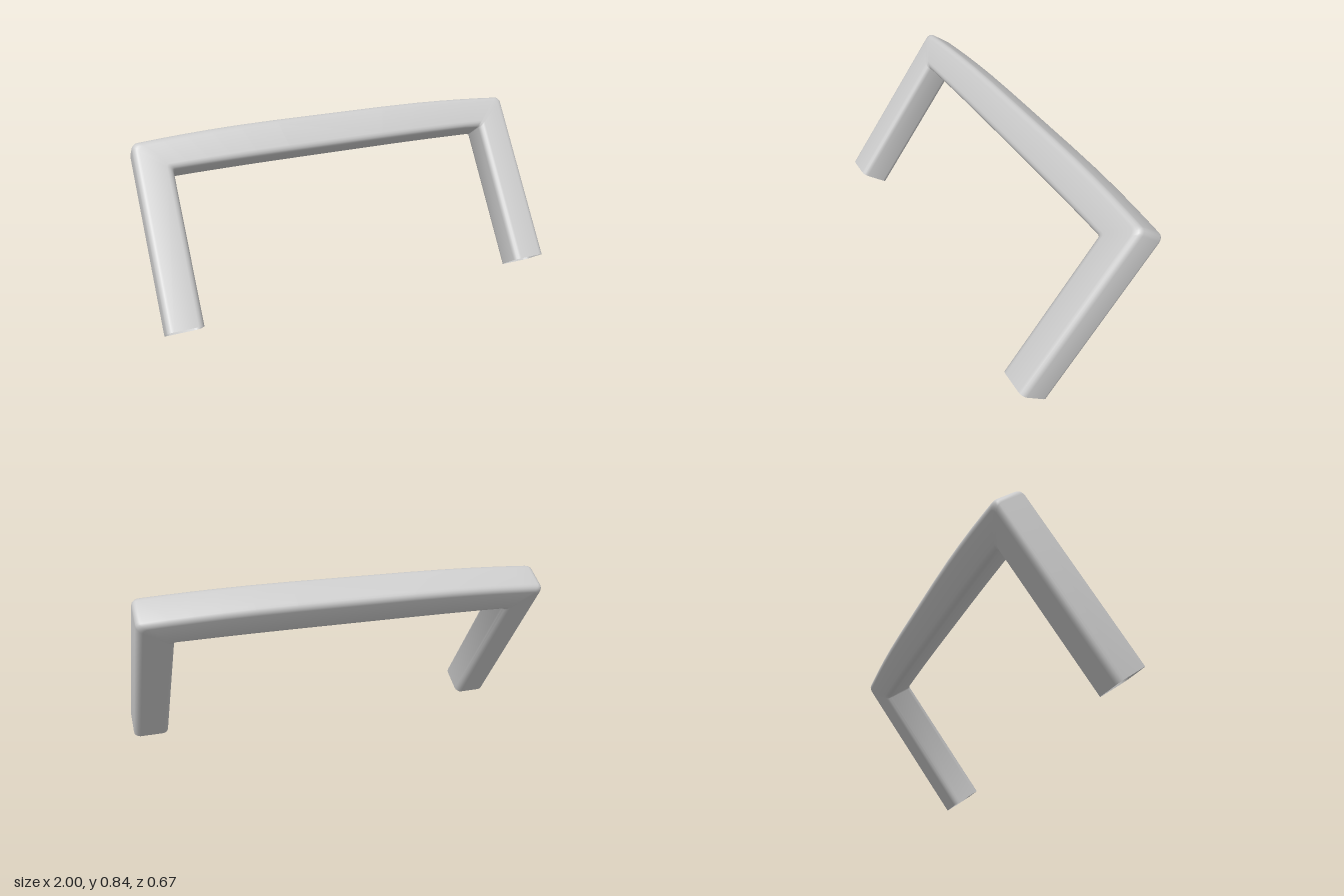
import * as THREE from 'three';
import { toCreasedNormals } from 'three/addons/utils/BufferGeometryUtils.js';

const lerp = THREE.MathUtils.lerp;

// Rounded-rectangle section: t runs 0 (outer side) to 1 (inner side), w is depth
function sectionProfile(width, w0, w1, r, steps) {
  const points = [];
  const corners = [[width - r, w1 - r, 90], [width - r, w0 + r, 0], [r, w0 + r, -90], [r, w1 - r, -180]];
  // Clockwise around the section, so the walls face outwards
  const order = [corners[3], corners[2], corners[1], corners[0]];
  const start = [90, 0, -90, -180];
  order.forEach(([a, w], k) => {
    for (let i = 0; i <= steps; i++) {
      const angle = THREE.MathUtils.degToRad(start[k] - (90 * i) / steps);
      points.push([(a - r * Math.cos(angle)) / width, w + r * Math.sin(angle)]);
    }
  });
  return points;
}

// Height of the bowed crossbar; f is 0 at the middle and 1 at the corner
function barHeight(t, f) {
  const drop = Math.pow(Math.max(0, (Math.abs(f) - 0.3) / 0.7), 2);
  return lerp(0.813 - 0.028 * drop, 0.638 - 0.006 * drop, t);
}

// Sections along the U: each maps t to an (x, y) position
function handleStations() {
  const side = (t) => lerp(1, 0.829, t);
  const radius = (t) => lerp(0.03, 0.01, t);
  const half = [(t) => [side(t), -0.114]];
  const turns = 4;
  for (let i = 0; i <= turns; i++) {
    const a = (i / turns) * Math.PI / 2;
    half.push((t) => {
      const r = radius(t);
      return [side(t) - r + r * Math.cos(a), barHeight(t, 1) - r + r * Math.sin(a)];
    });
  }
  for (const f of [0.9, 0.78, 0.65, 0.5, 0.3]) {
    half.push((t) => [f * (side(t) - radius(t)), barHeight(t, f)]);
  }
  const mirrored = half.map((fn) => (t) => { const [x, y] = fn(t); return [-x, y]; }).reverse();
  return [...half, ...mirrored];
}

// Skin the sections into one open-ended tube
function handleGeometry() {
  const profile = sectionProfile(0.171, 0.16, 0.331, 0.03, 4);
  const stations = handleStations();
  const n = profile.length;
  const positions = [];
  const indices = [];
  stations.forEach((place, i) => {
    profile.forEach(([t, w], j) => {
      positions.push(...place(t), w);
      if (i === stations.length - 1) return;
      const a = i * n + j;
      const b = i * n + ((j + 1) % n);
      indices.push(a, b, b + n, a, b + n, a + n);
    });
  });
  const geometry = new THREE.BufferGeometry();
  geometry.setAttribute('position', new THREE.Float32BufferAttribute(positions, 3));
  geometry.setIndex(indices);
  return toCreasedNormals(geometry, 0.7);
}

export function createModel() {
  const group = new THREE.Group();
  group.name = 'pullHandle';

  // Hollow handle, open at the leg ends and leaning back
  const material = new THREE.MeshStandardMaterial({ color: 0xcccccc, side: THREE.DoubleSide });
  const handle = new THREE.Mesh(handleGeometry(), material);
  handle.name = 'handle';
  handle.rotation.x = -Math.PI / 5;
  group.add(handle);

  return group;
}
